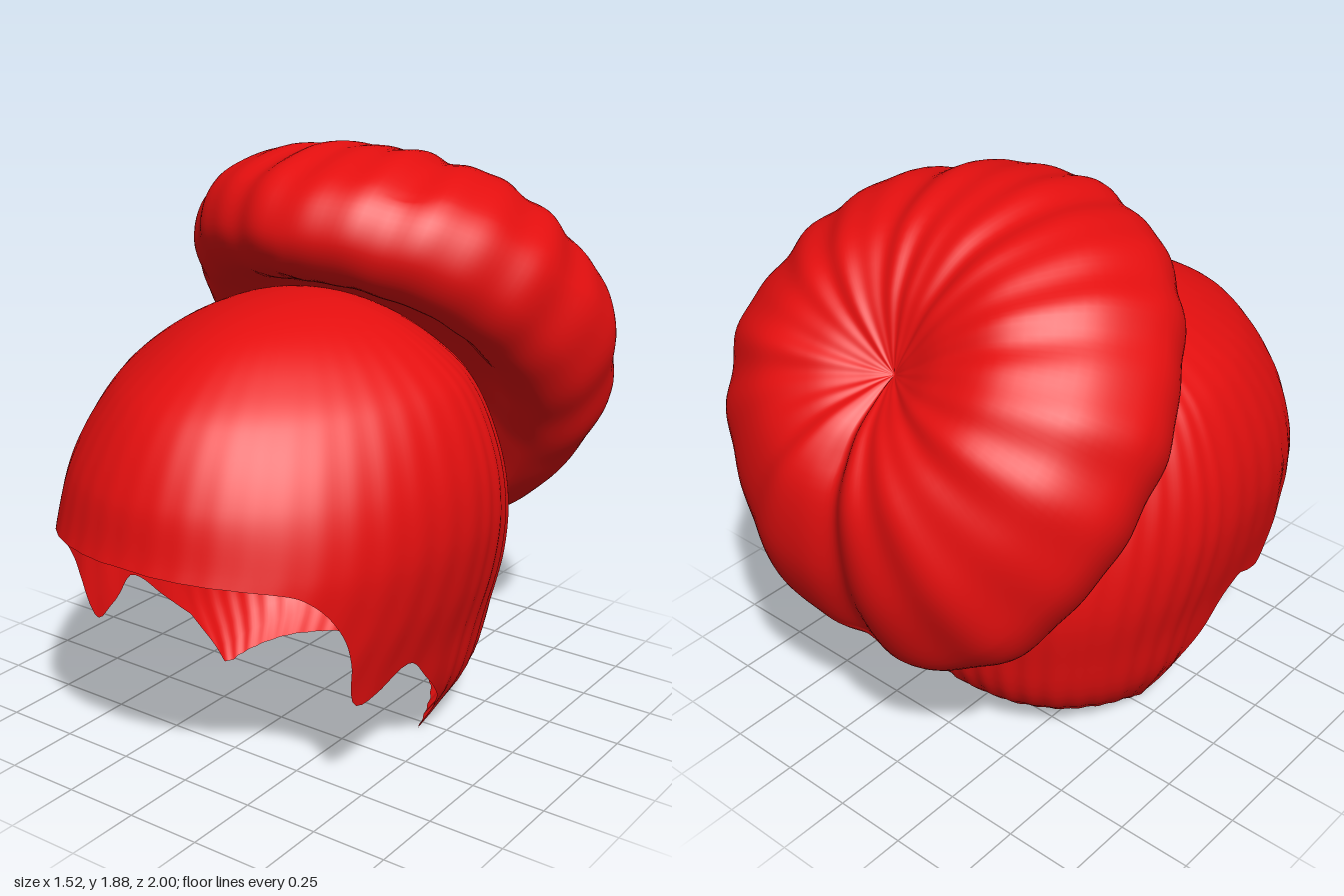
import * as THREE from 'three';
import { mergeVertices } from 'three/addons/utils/BufferGeometryUtils.js';

// Smooth interpolation through rows [t, a, b, ...], returns column c at t
function sample(rows, t, c) {
  const last = rows.length - 1;
  let i = 0;
  while (i < last - 1 && t > rows[i + 1][0]) i++;
  const slope = (k) => {
    const p = rows[Math.max(k - 1, 0)], n = rows[Math.min(k + 1, last)];
    return (n[c] - p[c]) / (n[0] - p[0]);
  };
  const h = rows[i + 1][0] - rows[i][0];
  const s = Math.min(Math.max((t - rows[i][0]) / h, 0), 1), s2 = s * s, s3 = s2 * s;
  return (2 * s3 - 3 * s2 + 1) * rows[i][c] + (s3 - 2 * s2 + s) * h * slope(i)
    + (3 * s2 - 2 * s3) * rows[i + 1][c] + (s3 - s2) * h * slope(i + 1);
}

// Surface closed around u (angle), running down v (0..1)
function closedSurface(point, nu, nv) {
  const pos = [], index = [];
  for (let j = 0; j <= nv; j++) {
    for (let i = 0; i < nu; i++) {
      const p = point((i / nu) * Math.PI * 2, j / nv);
      pos.push(p.x, p.y, p.z);
    }
  }
  for (let j = 0; j < nv; j++) {
    for (let i = 0; i < nu; i++) {
      const a = j * nu + i, c = j * nu + ((i + 1) % nu);
      index.push(a, a + nu, c, c, a + nu, c + nu);
    }
  }
  let g = new THREE.BufferGeometry();
  g.setAttribute('position', new THREE.Float32BufferAttribute(pos, 3));
  g.setIndex(index);
  g = mergeVertices(g, 1e-5);
  g.computeVertexNormals();
  return g;
}

// Cap of hair: height, half width, front z, back z, fullness of front and back corners
const CROWN = 1.45, MID_Z = 0.1;
const capRows = [
  [1.45, 0, 0.1, 0.1, 0, 0],
  [1.4, 0.27, 0.48, -0.1, -0.04, 0],
  [1.3, 0.455, 0.7, -0.24, -0.05, 0],
  [1.2, 0.56, 0.83, -0.33, -0.04, 0],
  [1.0, 0.645, 0.95, -0.43, 0, 0],
  [0.8, 0.665, 1.0, -0.51, 0.03, 0.01],
  [0.6, 0.635, 1.1, -0.55, 0.02, 0.03],
  [0.4, 0.58, 1.28, -0.52, 0, 0.05],
  [0.2, 0.53, 1.38, -0.47, 0, 0.05],
  [0.07, 0.46, 1.4, -0.35, 0, 0.03],
  [0, 0.42, 1.4, -0.2, 0, 0],
].map(([y, ...r]) => [Math.sqrt(CROWN - y), ...r]);

// Hairline: degrees from the front, height of the lower edge
const hairline = [
  [0, 0.81], [20, 0.8], [34, 0.785], [45, 0.75], [54, 0.65], [62, 0.5], [67, 0.35],
  [72, 0.36], [78, 0.41], [85, 0.29], [93, 0.12], [101, 0.0], [112, 0.01], [135, 0.04], [180, 0.07],
];

function capPoint(a, v) {
  const deg = THREE.MathUtils.radToDeg(a > Math.PI ? Math.PI * 2 - a : a);
  const edge = Math.max(sample(hairline, deg, 1), 0);
  const q = v * Math.sqrt(CROWN - edge);
  const w = sample(capRows, q, 1);
  const c = Math.cos(a);
  const front = c > 0;
  const reach = front ? sample(capRows, q, 2) - MID_Z : MID_Z - sample(capRows, q, 3);
  const corner = 1 + sample(capRows, q, front ? 4 : 5) * Math.sin(2 * a) ** 2;
  // combed strands, strongest at the sides and back
  const depth = (0.001 + 0.004 * THREE.MathUtils.smoothstep(deg, 30, 120)) * Math.min(1, q * 1.3);
  const k = corner * (1 + depth * (Math.sin(46 * a + 1.5 * q) + 0.5 * Math.sin(19 * a - 2 * q)));
  return new THREE.Vector3(w * Math.sin(a) * k, CROWN - q * q, MID_Z + reach * c * k);
}

// Bun: a tilted puffy disc with a puckered centre, its sides bent back
const bunProfile = new THREE.SplineCurve([
  [0, 0.36], [0.1, 0.4], [0.3, 0.45], [0.55, 0.425], [0.81, 0.27], [0.96, 0.08], [1, -0.06],
  [0.94, -0.18], [0.81, -0.22], [0.67, -0.18], [0.45, -0.08], [0, -0.05],
].map(([r, n]) => new THREE.Vector2(r, n)));
const bunCentre = new THREE.Vector3(0, 1.2, -0.4);
const bunAxis = new THREE.Vector3(0, 0.68, -0.73).normalize();
const bunUp = new THREE.Vector3(1, 0, 0).cross(bunAxis);

function bunPoint(a, v) {
  const p = bunProfile.getPoint(v);
  const r = Math.max(p.x, 0);
  const low = 0.5 - 0.5 * Math.cos(a);
  // uneven lobes that swirl slightly, plus a deep cleft at the bottom
  const t = a + 0.25 * r * Math.sin(a);
  const lobes = 0.006 * Math.cos(13 * t + 2 * r) + 0.005 * Math.sin(21 * t - r) + 0.006 * Math.sin(7 * t + 1);
  const cleft = 0.06 * Math.exp(-(((a - Math.PI) / 0.14) ** 2));
  const fold = (lobes - cleft) * Math.min(1, r * 2.5);
  const k = r * (1 + fold);
  // sides lean away from the head, the bottom hangs toward the neck
  const under = THREE.MathUtils.smoothstep(v, 0.5, 0.75);
  const lean = 0.17 * Math.abs(Math.sin(a)) ** (low > 0.5 ? 2.2 : 1.3);
  const hang = 0.07 * low ** 3.5;
  const bend = r * r * (lean - hang) - under * r * 0.07 * low ** 3;
  const n = p.y + bend + (p.y > 0 ? fold * 0.7 : 0);
  return bunCentre.clone()
    .addScaledVector(bunUp, Math.cos(a) * k * (0.82 - 0.035 * low))
    .addScaledVector(bunAxis, n)
    .add(new THREE.Vector3(Math.sin(a) * k * 0.755, 0, 0));
}

export function createModel() {
  const red = new THREE.MeshStandardMaterial({ color: 0xe50f0f, side: THREE.DoubleSide });
  red.name = 'red hair';
  const group = new THREE.Group();
  group.name = 'hair';
  const add = (name, geometry) => {
    const mesh = new THREE.Mesh(geometry, red);
    mesh.name = name;
    group.add(mesh);
  };
  add('hairCap', closedSurface(capPoint, 288, 56));
  add('hairBun', closedSurface(bunPoint, 200, 64));
  return group;
}
